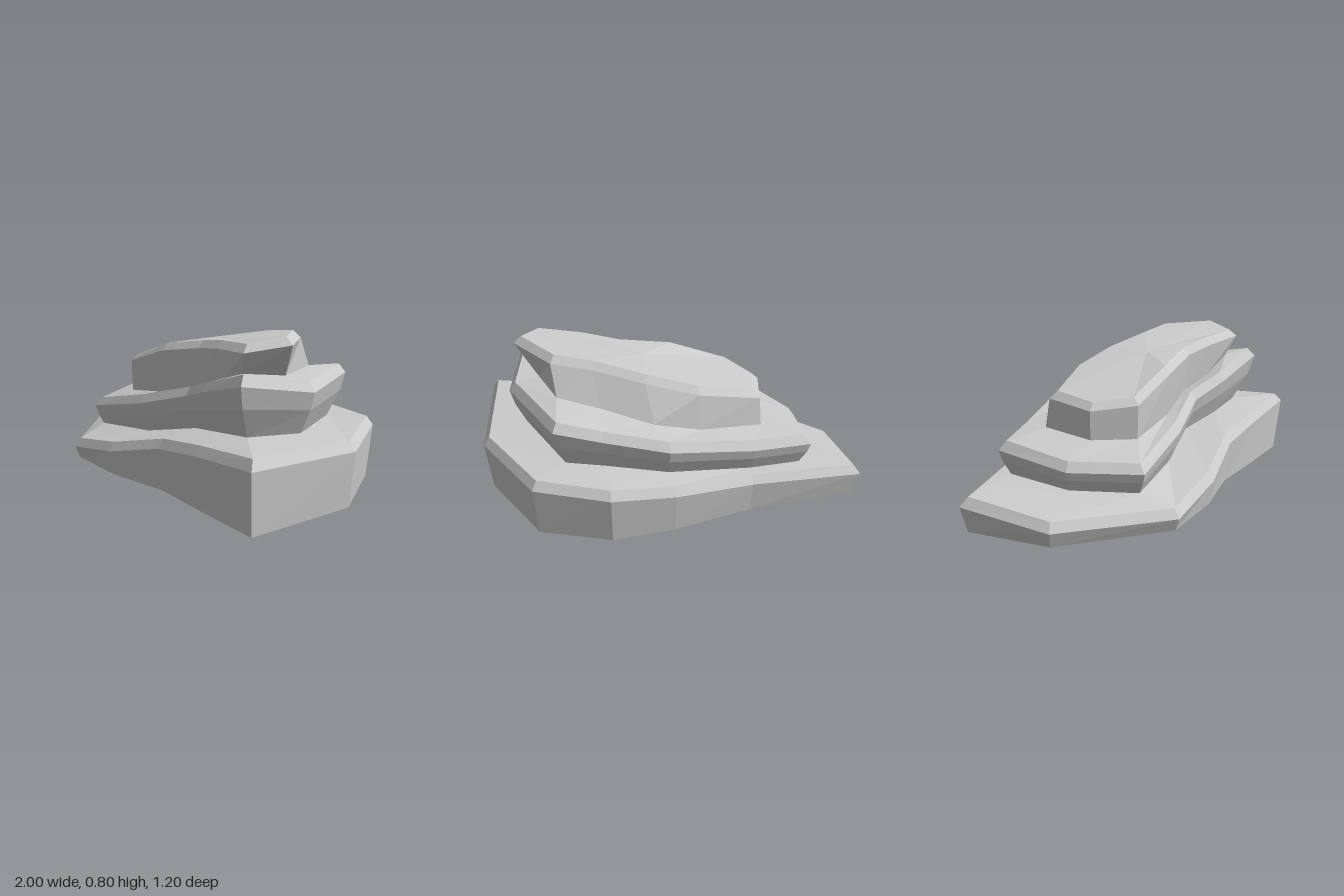
import * as THREE from 'three';

// Slab outlines, clockwise from the back right corner: [x, z, shoulder height, foot height]
const BASE = [
  [-1, -0.37, 0.13, 0], [-0.39, -0.45, 0.18, 0], [0.03, -0.56, 0.225, 0], [0.36, -0.6, 0.26, 0],
  [0.74, -0.48, 0.275, 0], [1, -0.03, 0.275, 0], [0.97, 0.595, 0.3, 0], [0.55, 0.56, 0.265, 0],
  [0.23, 0.525, 0.22, 0], [-0.14, 0.57, 0.13, 0], [-0.53, 0.545, 0.065, 0], [-0.97, 0.1, 0.075, 0],
];
const MIDDLE = [
  [-0.715, -0.34, 0.33, 0.2], [-0.4, -0.4, 0.355, 0.22], [0.05, -0.47, 0.43, 0.28], [0.38, -0.42, 0.49, 0.31],
  [0.62, -0.39, 0.545, 0.32], [0.84, 0.08, 0.54, 0.335], [0.77, 0.475, 0.61, 0.35], [0.43, 0.41, 0.52, 0.32],
  [0.2, 0.33, 0.45, 0.275], [-0.13, 0.375, 0.36, 0.2], [-0.565, 0.38, 0.27, 0.165], [-0.73, 0.05, 0.28, 0.18],
];
const TOP = [
  [-0.46, -0.2, 0.55], [-0.13, -0.25, 0.62], [0.14, -0.2, 0.68], [0.4, -0.11, 0.73],
  [0.61, -0.06, 0.755], [0.8, 0.19, 0.765], [0.685, 0.385, 0.735], [0.43, 0.325, 0.72],
  [0.23, 0.27, 0.69], [-0.05, 0.285, 0.645], [-0.375, 0.255, 0.545], [-0.51, 0.06, 0.525],
];
// The top slab leans, so its foot has an outline of its own: [x, z, height]
const TOP_FOOT = [
  [-0.47, -0.22, 0.4], [-0.13, -0.29, 0.44], [0.11, -0.305, 0.5], [0.37, -0.21, 0.56],
  [0.59, -0.145, 0.605], [0.68, 0.11, 0.6], [0.63, 0.34, 0.63], [0.42, 0.3, 0.54],
  [0.22, 0.25, 0.49], [-0.05, 0.265, 0.42], [-0.375, 0.25, 0.375], [-0.51, 0.06, 0.38],
];

// Ring moved inward by depth(point) and set at height(point)
function ring(outline, depth, height) {
  const n = outline.length;
  const normal = (a, b) => new THREE.Vector2(a[1] - b[1], b[0] - a[0]).normalize();
  return outline.map((p, i) => {
    const n1 = normal(outline[(i + n - 1) % n], p);
    const n2 = normal(p, outline[(i + 1) % n]);
    const d = depth(p) / (1 + n1.dot(n2));
    return new THREE.Vector3(p[0] + (n1.x + n2.x) * d, height(p), p[1] + (n1.y + n2.y) * d);
  });
}

// Flat-shaded skin through rings from bottom to top, closed by a fan if a peak is given
function slab(name, rings, peak) {
  const points = [];
  const n = rings[0].length;
  for (let i = 0; i < n; i++) {
    const j = (i + 1) % n;
    for (let k = 0; k + 1 < rings.length; k++) {
      const a = rings[k], b = rings[k + 1];
      points.push(a[j], a[i], b[i], a[j], b[i], b[j]);
    }
    const last = rings[rings.length - 1];
    if (peak) points.push(peak, last[j], last[i]);
  }
  const geometry = new THREE.BufferGeometry().setFromPoints(points);
  geometry.computeVertexNormals();
  const material = new THREE.MeshStandardMaterial({ color: 0xcccccc, flatShading: true, side: THREE.DoubleSide });
  const mesh = new THREE.Mesh(geometry, material);
  mesh.name = name;
  return mesh;
}

export function createModel() {
  const group = new THREE.Group();
  group.name = 'layeredRock';
  const shoulder = (p) => p[2];
  const undercut = (p) => p[2] - p[3];

  // Feet of the upper slabs also end the ledges below them
  const middleFoot = ring(MIDDLE, (p) => 0.35 * undercut(p), (p) => p[3]);
  const topFoot = ring(TOP_FOOT, () => 0, shoulder);

  // Base: open below, bevelled rim and ledge
  group.add(slab('baseSlab', [
    ring(BASE, () => 0.025, () => 0),
    ring(BASE, () => 0, shoulder),
    ring(BASE, () => 0.032, (p) => p[2] + 0.046),
    middleFoot,
  ]));

  // Middle: undercut belly, wall, bevelled rim and ledge
  group.add(slab('middleSlab', [
    middleFoot,
    ring(MIDDLE, (p) => 0.1 * undercut(p), (p) => p[2] - 0.42 * undercut(p)),
    ring(MIDDLE, () => 0, shoulder),
    ring(MIDDLE, () => 0.032, (p) => p[2] + 0.046),
    topFoot,
  ]));

  // Top: leaning wall, bevelled rim and gently domed cap
  group.add(slab('topSlab', [
    topFoot,
    ring(TOP, () => 0, shoulder),
    ring(TOP, () => 0.035, (p) => p[2] + 0.037),
  ], new THREE.Vector3(0.12, 0.715, 0.07)));

  return group;
}
